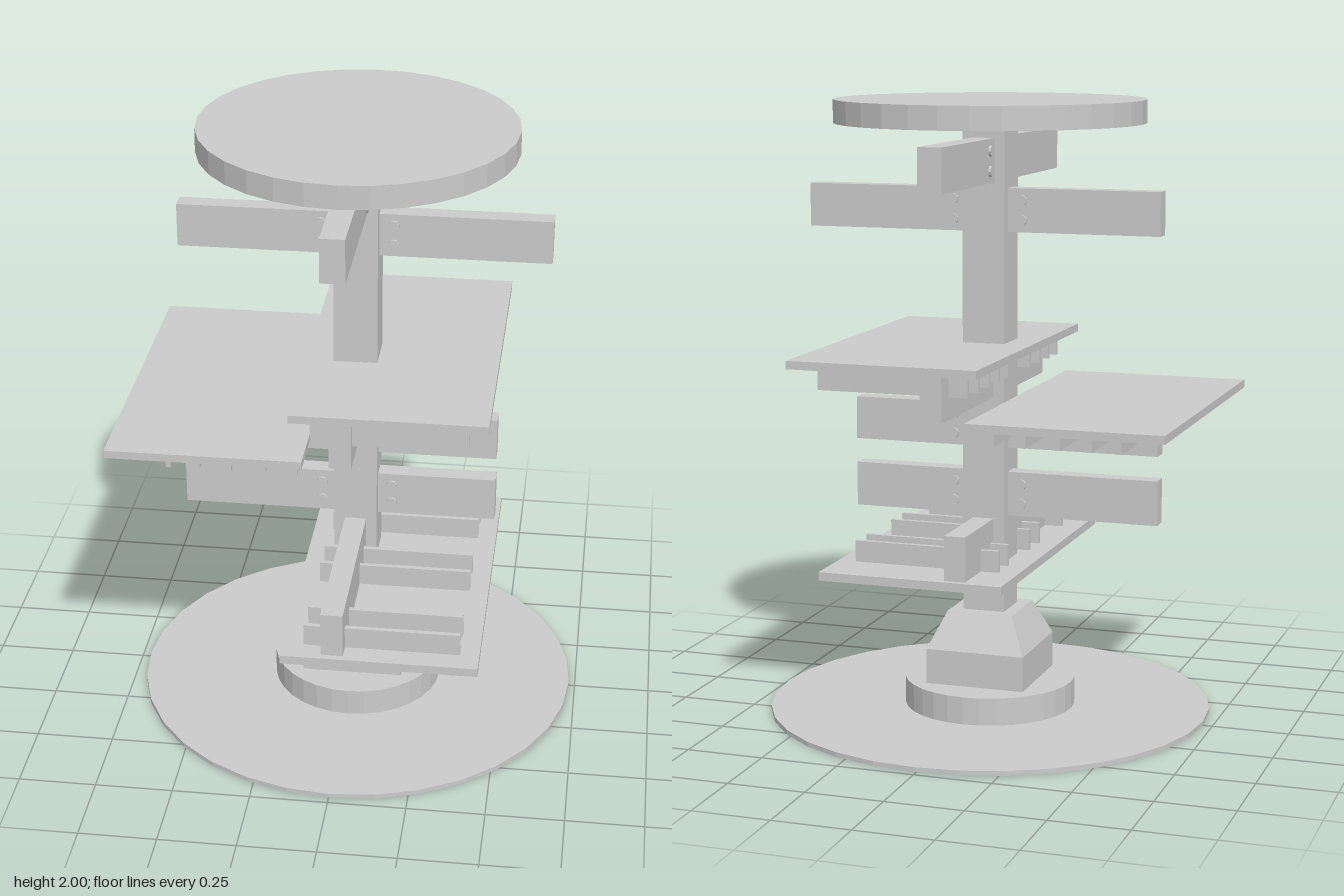
import * as THREE from 'three';

const CX = 0.005; // x of the post axis
const MID = 0.035; // half thickness of beams running along z

export function createModel() {
  const model = new THREE.Group();
  const mat = new THREE.MeshStandardMaterial({ color: 0xcccccc, flatShading: true });

  const add = (name, geo, x, y, z, parent = model) => {
    const mesh = new THREE.Mesh(geo, mat);
    mesh.name = name;
    mesh.position.set(x, y, z);
    parent.add(mesh);
    return mesh;
  };
  // box given by its limits on each axis
  const box = (name, [x0, x1], [y0, y1], [z0, z1], parent) =>
    add(name, new THREE.BoxGeometry(x1 - x0, y1 - y0, z1 - z0),
      (x0 + x1) / 2, (y0 + y1) / 2, (z0 + z1) / 2, parent);
  const disc = (name, r, y0, y1) =>
    add(name, new THREE.CylinderGeometry(r, r, y1 - y0, 32), CX, (y0 + y1) / 2, 0);
  const group = (name) => {
    const g = new THREE.Group();
    g.name = name;
    model.add(g);
    return g;
  };

  // Base, hub, square tapered foot, post and round top
  disc('basePlate', 0.725, 0, 0.015);
  disc('baseHub', 0.28, 0.015, 0.105);
  box('footBlock', [CX - 0.165, CX + 0.165], [0.105, 0.22], [-0.165, 0.165]);
  const taper = new THREE.CylinderGeometry(0.11 * Math.SQRT2, 0.165 * Math.SQRT2, 0.12, 4);
  taper.rotateY(Math.PI / 4);
  add('footTaper', taper, CX, 0.28, 0);
  box('post', [CX - 0.07, CX + 0.07], [0.34, 1.925], [-0.07, 0.07]);
  disc('topDisc', 0.5, 1.925, 2);

  // Cross beams with two bolt heads on each face, either side of the post
  const beam = (name, y0, y1, from, to, alongZ) => {
    const g = group(name);
    const half = alongZ ? 0.038 : 0.03;
    if (alongZ) box('beamBar', [CX - half, CX + half], [y0, y1], [from, to], g);
    else box('beamBar', [from, to], [y0, y1], [-half, half], g);
    const bolt = new THREE.CylinderGeometry(0.018, 0.018, 0.016, 10);
    if (alongZ) bolt.rotateZ(Math.PI / 2);
    else bolt.rotateX(Math.PI / 2);
    for (const dy of [-0.032, 0.032])
      for (const end of [-0.115, 0.115])
        for (const face of [-half, half]) {
          const y = (y0 + y1) / 2 + dy;
          if (alongZ) add('bolt', bolt, CX + face, y, end, g);
          else add('bolt', bolt, CX + end, y, face, g);
        }
  };
  beam('topBeamZ', 1.74, 1.88, -0.57, 0.61, true);
  beam('topBeamX', 1.58, 1.72, -0.565, 0.615, false);
  beam('middleBeamX', 0.88, 1.02, -0.565, 0.46, false);
  beam('lowerBeamX', 0.655, 0.8, -0.565, 0.46, false);

  // Upper platform: ribs and beam hang below the board
  const upper = group('upperPlatform');
  box('board', [-0.155, 0.46], [1.198, 1.224], [-0.61, 0.46], upper);
  box('carrier', [CX - MID, CX + MID], [1.05, 1.198], [-0.57, 0.46], upper);
  for (const z of [0.43, 0.335, 0.24, 0.13, -0.1, -0.195, -0.29, -0.39, -0.495])
    box('rib', [-0.09, 0.4], [1.12, 1.198], [z - 0.008, z + 0.008], upper);

  // Side platform: ribs run front to back
  const side = group('sidePlatform');
  box('board', [-0.735, -0.115], [1.036, 1.062], [-0.61, 0.457], side);
  for (const x of [-0.553, -0.46, -0.36, -0.25, -0.15])
    box('rib', [x - 0.008, x + 0.008], [0.965, 1.036], [-0.45, 0.365], side);

  // Lower platform: ribs and beam stand on top of the board
  const lower = group('lowerPlatform');
  box('board', [-0.155, 0.46], [0.477, 0.505], [-0.375, 0.692], lower);
  box('carrier', [CX - MID, CX + MID], [0.505, 0.65], [-0.355, 0.67], lower);
  for (const z of [0.612, 0.505, 0.235, 0.13, -0.1, -0.195])
    box('rib', [-0.09, 0.4], [0.505, 0.575], [z - 0.008, z + 0.008], lower);

  return model;
}
